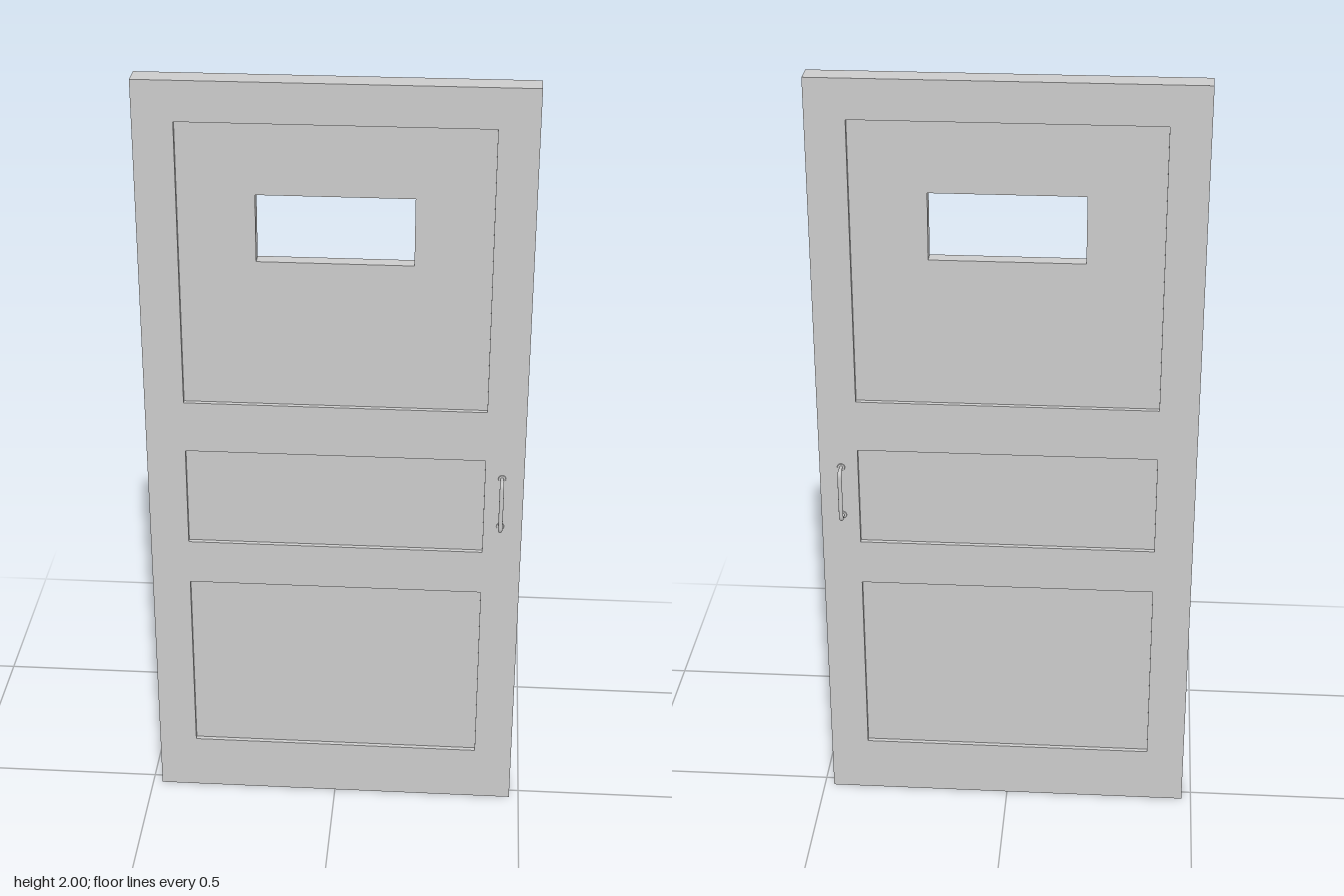
import * as THREE from 'three';

const HALF_T = 0.03;      // half thickness of the door
const HALF_CORE = 0.018;  // half thickness of the recessed panels
const material = new THREE.MeshStandardMaterial({ color: 0xcccccc });

function rect(Type, x0, x1, y0, y1) {
  const s = new Type();
  s.moveTo(x0, y0).lineTo(x1, y0).lineTo(x1, y1).lineTo(x0, y1).closePath();
  return s;
}

// Flat slab centred on z = 0
function slab(name, shape, halfDepth) {
  const geo = new THREE.ExtrudeGeometry(shape, { depth: halfDepth * 2, bevelEnabled: false });
  geo.translate(0, 0, -halfDepth);
  const mesh = new THREE.Mesh(geo, material);
  mesh.name = name;
  return mesh;
}

// Bow of the pull: two arms and a grip with rounded corners, slimmer at the arms
function pullGeometry(y0, y1, reach, bend) {
  const v = (y, z) => new THREE.Vector3(0, y, z);
  const foot = HALF_T - 0.004;
  const path = new THREE.CurvePath();
  path.add(new THREE.LineCurve3(v(y0, foot), v(y0, reach - bend)));
  path.add(new THREE.QuadraticBezierCurve3(v(y0, reach - bend), v(y0, reach), v(y0 + bend, reach)));
  path.add(new THREE.LineCurve3(v(y0 + bend, reach), v(y1 - bend, reach)));
  path.add(new THREE.QuadraticBezierCurve3(v(y1 - bend, reach), v(y1, reach), v(y1, reach - bend)));
  path.add(new THREE.LineCurve3(v(y1, reach - bend), v(y1, foot)));

  const rings = 64, sides = 12;
  const geo = new THREE.TubeGeometry(path, rings, 0.0055, sides);
  const pos = geo.attributes.position;
  const p = new THREE.Vector3();
  for (let i = 0; i <= rings; i++) {
    const t = i / rings;
    const c = path.getPointAt(t);
    const k = THREE.MathUtils.lerp(0.75, 1, THREE.MathUtils.smoothstep(Math.min(t, 1 - t), 0.08, 0.2));
    for (let j = 0; j <= sides; j++) {
      const n = i * (sides + 1) + j;
      p.fromBufferAttribute(pos, n).sub(c).multiplyScalar(k).add(c);
      pos.setXYZ(n, p.x, p.y, p.z);
    }
  }
  geo.computeVertexNormals();
  return geo;
}

function makeHandle(name) {
  const group = new THREE.Group();
  group.name = name;
  const y0 = 0.849, y1 = 0.986;
  const pull = new THREE.Mesh(pullGeometry(y0, y1, 0.0625, 0.014), material);
  pull.name = 'pull';
  group.add(pull);
  // Thin round plates where the arms meet the door
  for (const y of [y0, y1]) {
    const plate = new THREE.Mesh(new THREE.CylinderGeometry(0.009, 0.011, 0.004, 20), material);
    plate.name = 'mountingPlate';
    plate.rotation.x = Math.PI / 2;
    plate.position.set(0, y, HALF_T);
    group.add(plate);
  }
  return group;
}

export function createModel() {
  const door = new THREE.Group();
  door.name = 'door';

  // Outer frame with three panel openings, each filled by a thinner panel
  const X = 0.377;
  const panels = [
    { name: 'lowerPanel', y0: 0.15, y1: 0.65 },
    { name: 'middlePanel', y0: 0.77, y1: 1.035 },
    { name: 'upperPanel', y0: 1.17, y1: 1.9, window: true },
  ];
  const frame = rect(THREE.Shape, -0.475, 0.475, 0, 2);
  for (const { name, y0, y1, window } of panels) {
    frame.holes.push(rect(THREE.Path, -X, X, y0, y1));
    const shape = rect(THREE.Shape, -X, X, y0, y1);
    if (window) shape.holes.push(rect(THREE.Path, -0.19, 0.19, 1.55, 1.72));
    door.add(slab(name, shape, HALF_CORE));
  }
  door.add(slab('frame', frame, HALF_T));

  // Matching pulls on both faces
  const front = makeHandle('frontHandle');
  front.position.x = 0.42;
  const back = makeHandle('backHandle');
  back.position.x = 0.42;
  back.rotation.y = Math.PI;
  door.add(front, back);

  return door;
}
